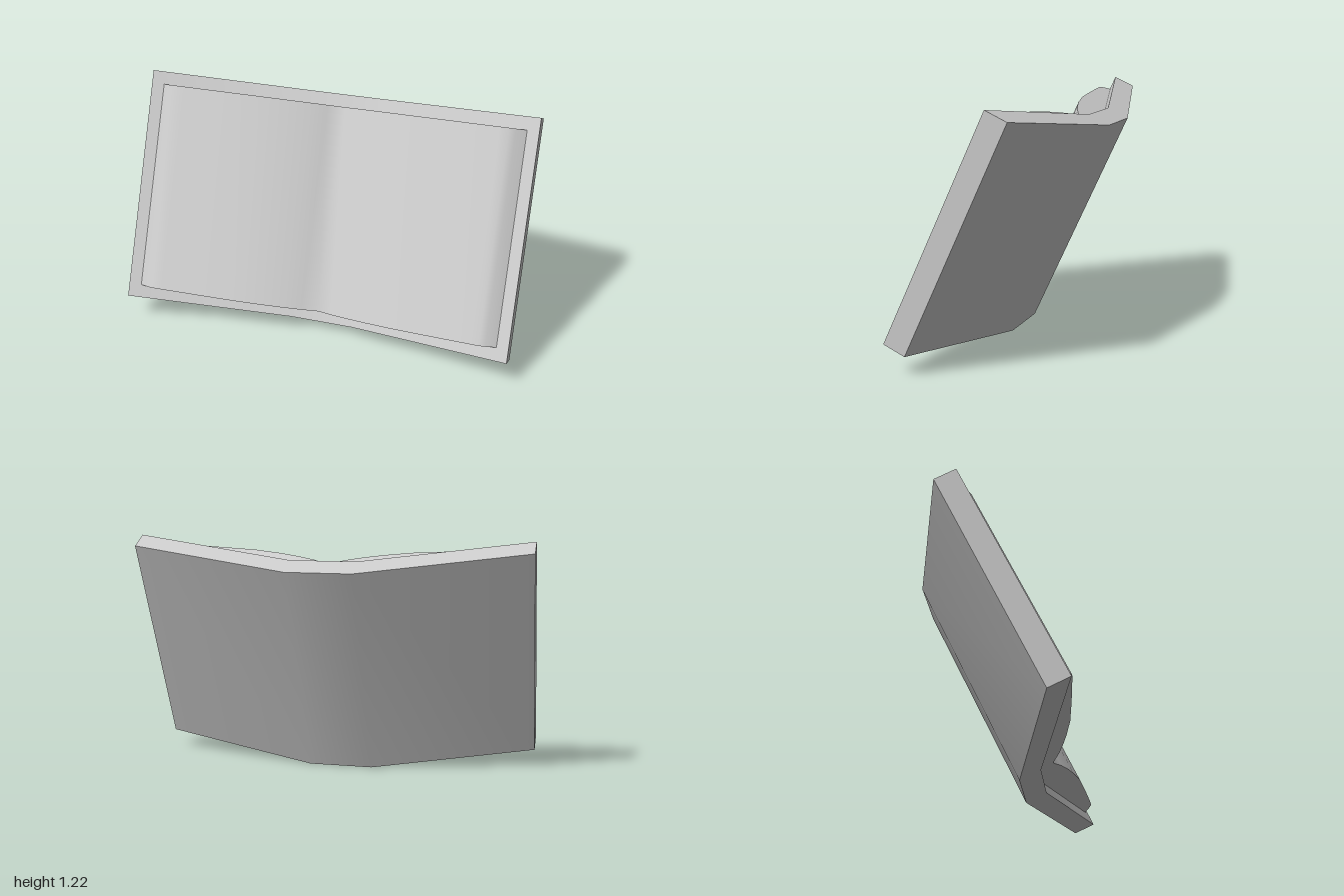
import * as THREE from 'three';
import { toCreasedNormals } from 'three/addons/utils/BufferGeometryUtils.js';

const material = new THREE.MeshStandardMaterial({ color: 0xcccccc });

// Extrude a cross-section (x across, y towards the reader) from u0 to u1 up the page.
// Both outlines are right halves, listed from the centre outwards, and get mirrored.
function slab(name, back, front, u0, u1) {
  const mirror = (pts) => pts.filter(([x]) => x > 0).map(([x, y]) => [-x, y]);
  const outline = [
    ...mirror(back).reverse(), ...back,
    ...[...front].reverse(), ...mirror(front),
  ];
  const shape = new THREE.Shape(outline.map(([x, y]) => new THREE.Vector2(x, y)));
  const geometry = new THREE.ExtrudeGeometry(shape, { depth: u1 - u0, bevelEnabled: false });
  geometry.translate(0, 0, -u1);
  const mesh = new THREE.Mesh(toCreasedNormals(geometry, Math.PI / 3), material);
  mesh.name = name;
  return mesh;
}

export function createModel() {
  const book = new THREE.Group();
  book.name = 'openBook';

  // Cover: flat spine with two boards angled forward
  book.add(slab('cover',
    [[0.165, 0], [1, 0.221]],
    [[0.165, 0.114], [1, 0.336]],
    0, 1.186));

  // Pages: block lying on the cover, with a valley at the centre
  book.add(slab('pages',
    [[0.165, 0.113]],
    [[0, 0.197], [0.08, 0.235], [0.16, 0.263], [0.26, 0.291], [0.4, 0.32],
      [0.6, 0.341], [0.81, 0.359], [0.86, 0.362], [0.89, 0.351], [0.94, 0.32]],
    0.067, 1.121));

  // Lean the book back with its spine foot on the ground
  book.rotation.x = THREE.MathUtils.degToRad(65);
  book.position.z = 0.1;

  const model = new THREE.Group();
  model.name = 'book';
  model.add(book);
  return model;
}
